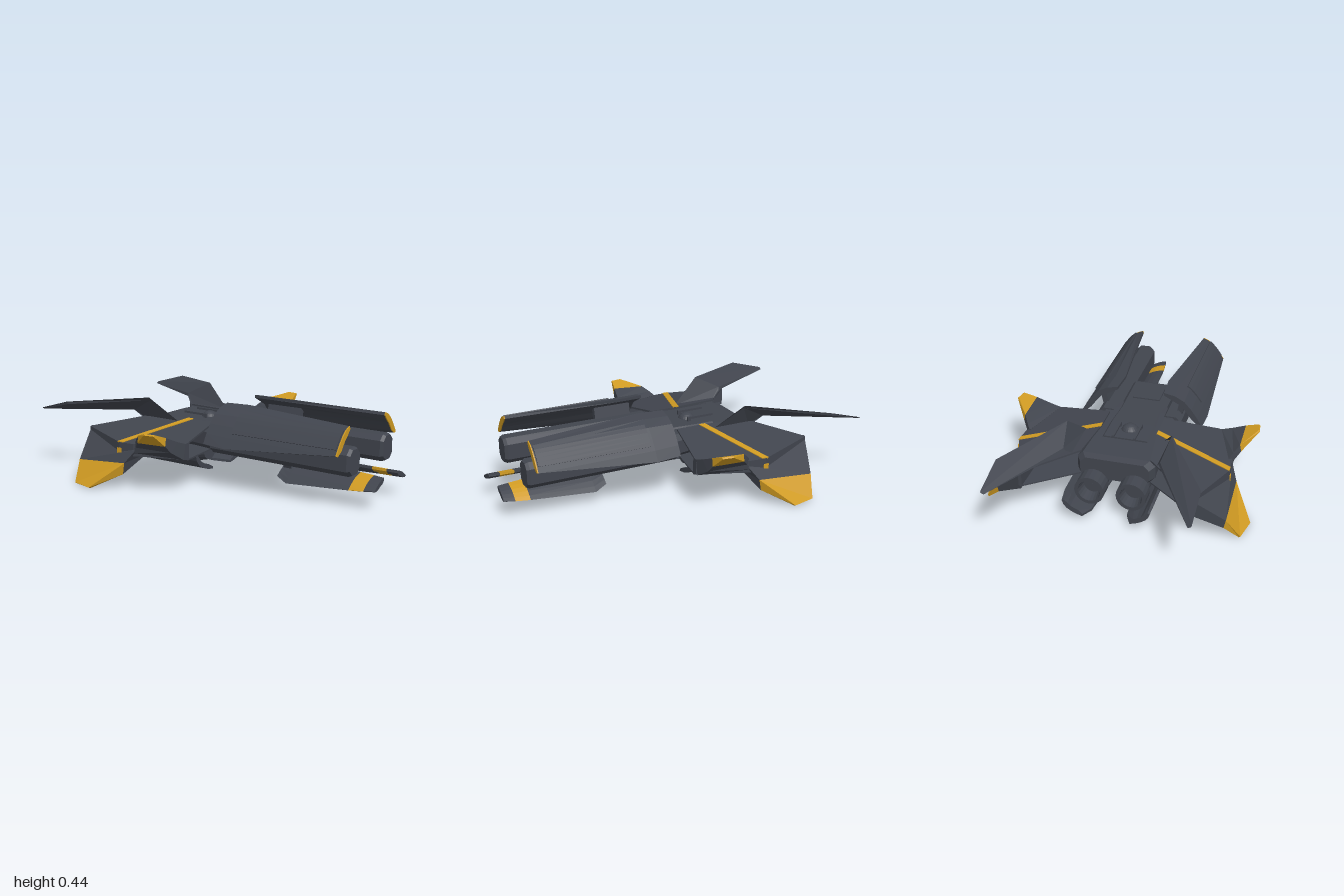
import * as THREE from 'three';

const hull = new THREE.MeshStandardMaterial({ color: 0x41454e, flatShading: true });
hull.name = 'hullGrey';
const gold = new THREE.MeshStandardMaterial({ color: 0xcf9a22, flatShading: true });
gold.name = 'goldTrim';

// Closed solid through rings of equal point count; winding is fixed by signed volume
function loft(rings) {
  const n = rings[0].length, tris = [];
  const quad = (a, b, c, d) => tris.push([a, b, c], [a, c, d]);
  for (let r = 0; r < rings.length - 1; r++)
    for (let i = 0; i < n; i++) {
      const j = (i + 1) % n;
      quad(rings[r][i], rings[r][j], rings[r + 1][j], rings[r + 1][i]);
    }
  const first = rings[0], last = rings[rings.length - 1];
  for (let i = 0; i < n / 2 - 1; i++) {
    const j = n - 1 - i;
    quad(first[j], first[j - 1], first[i + 1], first[i]);
    quad(last[i], last[i + 1], last[j - 1], last[j]);
  }
  let volume = 0;
  const [a, b, c] = [new THREE.Vector3(), new THREE.Vector3(), new THREE.Vector3()];
  for (const t of tris) volume += a.fromArray(t[0]).dot(b.fromArray(t[1]).cross(c.fromArray(t[2])));
  if (volume < 0) tris.forEach((t) => t.reverse());
  const g = new THREE.BufferGeometry();
  g.setAttribute('position', new THREE.Float32BufferAttribute(tris.flat(2), 3));
  g.computeVertexNormals();
  return g;
}

// Curved armour section: outer arc between u0 and u1, thickened toward a centre
function shellRing(pts, centre, t, z, u0, u1, lift = 0) {
  const curve = new THREE.CatmullRomCurve3(pts.map((p) => new THREE.Vector3(p[0], p[1], 0)));
  const c = new THREE.Vector3(centre[0], centre[1], 0), outer = [], inner = [];
  for (let i = 0; i <= 5; i++) {
    const p = curve.getPoint(u0 + (u1 - u0) * i / 5);
    const d = c.clone().sub(p).normalize();
    const edge = i === 0 || i === 5 ? 0.5 : 1;
    const o = p.clone().addScaledVector(d, -lift), q = p.clone().addScaledVector(d, t * edge);
    outer.push([o.x, o.y, z]);
    inner.unshift([q.x, q.y, z]);
  }
  return outer.concat(inner);
}

// Rectangle with cut corners at depth z
function octagon(x0, x1, y0, y1, c, z) {
  return [[x0 + c, y1], [x1 - c, y1], [x1, y1 - c], [x1, y0 + c],
    [x1 - c, y0], [x0 + c, y0], [x0, y0 + c], [x0, y1 - c]].map(([x, y]) => [x, y, z]);
}

export function createModel() {
  const model = new THREE.Group();
  model.name = 'spacecraft';
  const add = (name, geo, mat = hull, x = 0, y = 0, z = 0) => {
    const m = new THREE.Mesh(geo, mat);
    m.name = name;
    m.position.set(x, y, z);
    model.add(m);
  };
  const pair = (name, rings, mat) => {
    add(name + 'Left', loft(rings), mat);
    add(name + 'Right', loft(rings.map((r) => r.map(([x, y, z]) => [-x, y, z]))), mat);
  };

  // Main body and nose
  add('body', loft([[0.19, 0.29, -0.48], [0.215, 0.30, -0.44], [0.2, 0.302, -0.15], [0.235, 0.305, 0.06], [0.2, 0.3, 0.14]]
    .map(([w, top, z]) => octagon(-w, w, 0.17, top, 0.03, z))));
  add('nose', loft([[0.14, 0.31, -0.27], [0.14, 0.312, -0.1], [0.13, 0.312, 0.06], [0.138, 0.308, 0.39], [0.132, 0.3, 0.41]]
    .map(([w, top, z]) => octagon(-w, w, 0.16, top, 0.02, z))));
  const hatch = new THREE.Shape([[-0.08, 0.18], [-0.08, 0.32], [-0.05, 0.36], [0.05, 0.36], [0.08, 0.32], [0.08, 0.18]]
    .map(([x, y]) => new THREE.Vector2(x, -y)));
  add('hatch', new THREE.ExtrudeGeometry(hatch, { depth: 0.01, bevelEnabled: false }).rotateX(-Math.PI / 2), hull, 0, 0.308, 0);
  add('noseWindow', loft([octagon(-0.08, 0.08, 0.212, 0.28, 0.018, 0.405), octagon(-0.08, 0.08, 0.212, 0.28, 0.018, 0.416)]));
  add('dome', new THREE.SphereGeometry(0.053, 20, 12), hull, 0, 0.289, -0.165);

  for (const s of [1, -1]) {
    // Rails beside the dome
    add('rail', new THREE.BoxGeometry(0.012, 0.012, 0.16), hull, s * 0.06, 0.33, -0.22);
    add('railPost', new THREE.BoxGeometry(0.012, 0.04, 0.02), hull, s * 0.06, 0.315, -0.15);
    // Engines: casing, flared ring and recessed exhaust
    const casing = [[0.001, -0.08], [0.055, -0.08], [0.07, -0.14], [0.07, -0.46], [0.082, -0.48],
      [0.082, -0.57], [0.062, -0.57], [0.05, -0.5], [0.001, -0.5]];
    const engine = new THREE.LatheGeometry(casing.map(([r, z]) => new THREE.Vector2(r, -z)), 20).rotateX(-Math.PI / 2);
    add('engine', engine, hull, s * 0.115, 0.142, 0);
  }

  // Forward booms
  pair('boom', [octagon(0.125, 0.245, 0.165, 0.312, 0.03, 0.02), octagon(0.125, 0.245, 0.165, 0.312, 0.03, 0.87),
    octagon(0.134, 0.238, 0.172, 0.305, 0.028, 0.887)]);

  // Upper armour plates, raised panels and gold front edges
  const up = [[0.127, 0.44], [0.235, 0.41], [0.31, 0.33], [0.365, 0.24]], upC = [0.14, 0.22];
  pair('upperPlate', [[0.06, 0.03, 0.97], [0.2, 0, 1], [0.855, 0.22, 0.8]]
    .map(([z, a, b]) => shellRing(up, upC, 0.034, z, a, b)));
  pair('upperPlatePanel', [[0.22, 0.34, 0.72], [0.85, 0.36, 0.7]]
    .map(([z, a, b]) => shellRing(up, upC, 0.005, z, a, b, 0.007)));
  pair('upperPlateTrim', [0.855, 0.861].map((z) => shellRing(up, upC, 0.034, z, 0.22, 0.8)), gold);
  pair('upperPlateStrut', [0.1, 0.32].map((z) =>
    [[0.225, 0.395, z], [0.255, 0.38, z], [0.235, 0.29, z], [0.2, 0.29, z]]));

  // Lower front pods with gold bands
  const pod = [[0.05, 0.157], [0.12, 0.14], [0.178, 0.106], [0.22, 0.068]], podC = [0.06, 0.04];
  const podRing = ([z, a, b]) => shellRing(pod, podC, 0.026, z, a, b);
  const bandA = [0.86, 0.06, 0.82], bandB = [0.94, 0.1, 0.76];
  pair('pod', [[0.43, 0, 0.8], [0.5, 0, 1], bandA].map(podRing));
  pair('podBand', [bandA, bandB].map(podRing), gold);
  pair('podTip', [bandB, [1.0, 0.14, 0.7]].map(podRing));
  pair('podStrut', [[0.44, 0.125], [0.49, 0.125]].map(([z, y]) =>
    [[0.13, 0.19, z - 0.02], [0.165, 0.19, z - 0.02], [0.14, y, z], [0.1, y, z]]));

  // Lower rear guards under the engines
  const guard = [[0.25, 0.145], [0.225, 0.08], [0.16, 0.04], [0.07, 0.02]];
  pair('rearGuard', [[-0.08, 0.05, 0.95], [-0.2, 0, 1], [-0.58, 0.05, 0.9], [-0.65, 0.15, 0.78]]
    .map(([z, a, b]) => shellRing(guard, [0.1, 0.16], 0.028, z, a, b)));

  // Wings: open upper and lower skins joined outboard by a solid hub
  const top = (x) => 0.346 - 0.163 * x;
  const chords = [[0.16, -0.02, 0.46, 0.034], [0.16, -0.18, 0.46, -0.28], [0.19, -0.45, 0.46, -0.668]];
  const skin = (y, t) => chords.map(([xa, za, xb, zb]) =>
    [[xa, y(xa), za], [xb, y(xb), zb], [xb, y(xb) - t, zb], [xa, y(xa) - t, za]]);
  pair('upperWingSkin', skin(top, 0.01));
  pair('lowerWingSkin', skin((x) => 0.172 + 0.02 * x, 0.008));
  pair('wingHub', [[0.035, 0.485], [-0.24, 0.59], [-0.33, 0.597], [-0.67, 0.47]].map(([z, x]) =>
    [[0.452, top(0.452), z], [x, top(x), z], [x, 0.182, z], [0.452, 0.173, z]]));

  // Gold stripe across the wing, with a mark on the outer edge
  pair('wingStripe', [[-0.16, -0.31], [-0.197, -0.347]].map(([za, zb]) =>
    [[0.16, top(0.16) + 0.004, za], [0.594, top(0.594) + 0.004, zb],
      [0.594, top(0.594) - 0.003, zb], [0.16, top(0.16) - 0.003, za]]), gold);
  pair('wingEdgeMark', [0, 0.006].map((d) => [[0.594 + d, 0.218, -0.317], [0.596 + d, 0.218, -0.345],
    [0.596 + d, 0.188, -0.345], [0.594 + d, 0.188, -0.317]]), gold);

  // Upper front foils: root, colour break, tip
  const upMid = [[0.618, 0.325, 0.016], [0.618, 0.312, -0.175], [0.626, 0.272, -0.175], [0.626, 0.28, 0.016]];
  pair('upperFoil', [[[0.48, 0.268, 0.035], [0.57, 0.255, -0.24], [0.59, 0.2, -0.24], [0.5, 0.185, 0.035]],
    [[0.54, 0.29, 0.028], [0.59, 0.28, -0.215], [0.595, 0.235, -0.215], [0.59, 0.24, 0.024]], upMid]);
  pair('upperFoilTip', [upMid, [[0.69, 0.353, 0], [0.7, 0.353, -0.06], [0.707, 0.346, -0.06], [0.698, 0.346, 0]]], gold);

  // Lower rear foils
  const lowMid = [[0.625, 0.145, -0.275], [0.63, 0.118, -0.605], [0.62, 0.07, -0.605], [0.62, 0.08, -0.29]];
  pair('lowerFoil', [[[0.59, 0.22, -0.22], [0.47, 0.25, -0.67], [0.455, 0.165, -0.67], [0.5, 0.18, -0.22]], lowMid]);
  pair('lowerFoilTip', [lowMid, [[0.736, 0.006, -0.44], [0.705, 0.006, -0.572], [0.697, 0, -0.57], [0.722, 0, -0.44]]], gold);

  // Swept tail fins: root, kink, tip
  pair('tailFin', [
    [[0.235, 0.3, -0.21], [0.225, 0.29, -0.46], [0.205, 0.29, -0.46], [0.21, 0.3, -0.22]],
    [[0.288, 0.44, -0.38], [0.262, 0.362, -0.53], [0.252, 0.345, -0.525], [0.27, 0.42, -0.385]],
    [[0.53, 0.408, -0.79], [0.53, 0.348, -1.0], [0.512, 0.338, -1.0], [0.526, 0.392, -0.79]],
  ]);
  return model;
}
